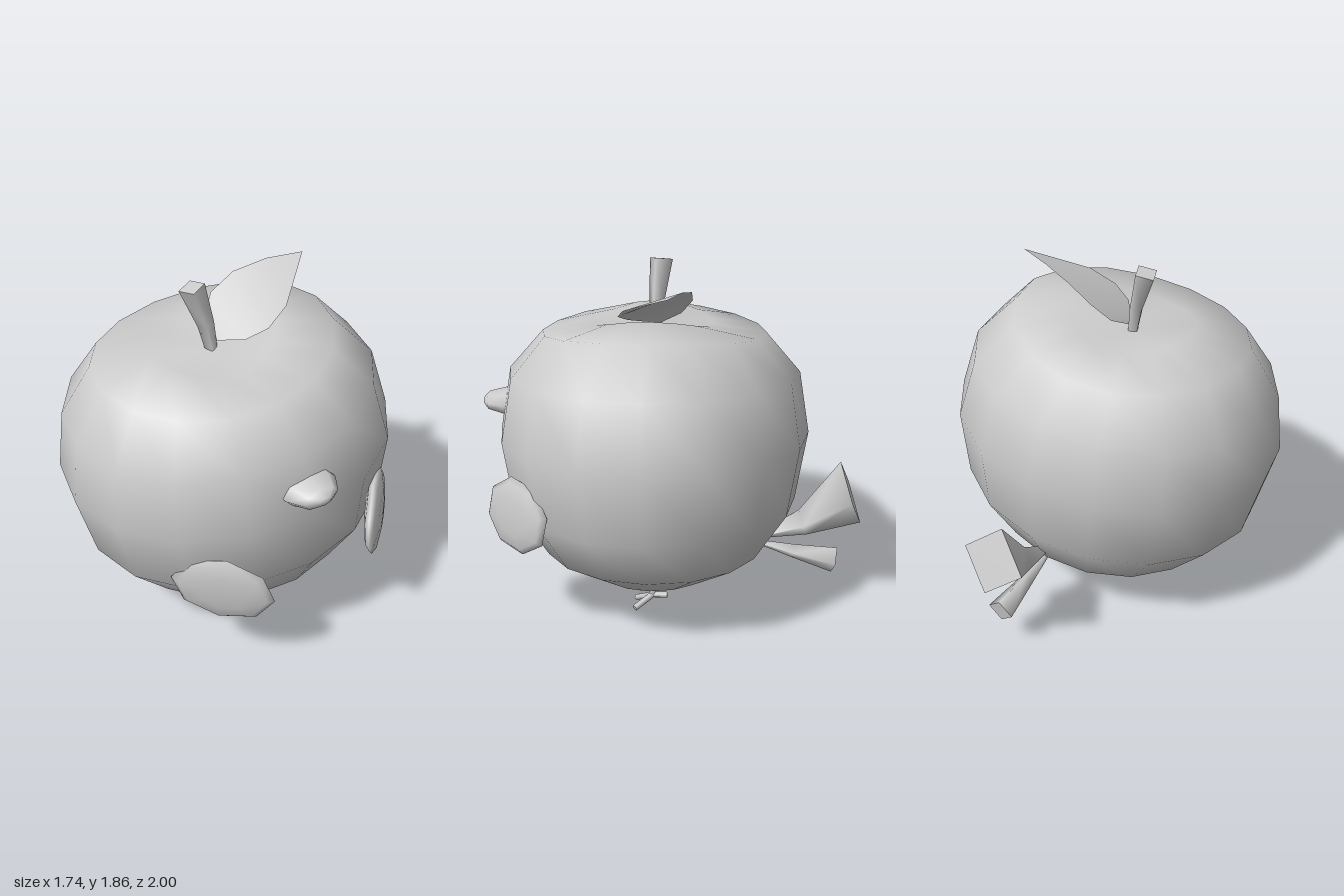
import * as THREE from 'three';
import { mergeVertices } from 'three/addons/utils/BufferGeometryUtils.js';

const skin = new THREE.MeshStandardMaterial({ color: 0xcccccc });
skin.name = 'plain grey';
const leafSkin = new THREE.MeshStandardMaterial({ color: 0xcccccc, side: THREE.DoubleSide });
leafSkin.name = 'plain grey leaf';

const V = (x, y, z) => new THREE.Vector3(x, y, z);

// Smooth skin over closed rings of points; an optional flat cap closes the last ring
function loft(rings, cap = false) {
  const n = rings[0].length;
  const pos = rings.flat().flatMap((p) => p.toArray());
  const index = [];
  for (let i = 0; i < rings.length - 1; i++) {
    for (let j = 0; j < n; j++) {
      const a = i * n + j, b = i * n + (j + 1) % n;
      index.push(a, b, a + n, b, b + n, a + n);
    }
  }
  let geo = new THREE.BufferGeometry();
  geo.setAttribute('position', new THREE.Float32BufferAttribute(pos, 3));
  geo.setIndex(index);
  geo = mergeVertices(geo);
  geo.computeVertexNormals();
  if (!cap) return geo;
  geo = geo.toNonIndexed();
  const p = [...geo.attributes.position.array], nn = [...geo.attributes.normal.array];
  const end = rings[rings.length - 1];
  for (let j = 1; j < n - 1; j++) {
    const tri = [end[0], end[j], end[j + 1]];
    const normal = new THREE.Triangle(...tri).getNormal(V(0, 0, 0));
    tri.forEach((q) => { p.push(...q.toArray()); nn.push(...normal.toArray()); });
  }
  geo = new THREE.BufferGeometry();
  geo.setAttribute('position', new THREE.Float32BufferAttribute(p, 3));
  geo.setAttribute('normal', new THREE.Float32BufferAttribute(nn, 3));
  return geo;
}

// Four-sided flared bar through the given centres
function flaredBar(centres, radii, corner, direction) {
  const d = direction.normalize();
  const u = corner.addScaledVector(d, -corner.dot(d)).normalize();
  const v = d.clone().cross(u);
  return loft(centres.map((c, i) => [0, 1, 2, 3].map((k) => {
    const a = k * Math.PI / 2;
    return c.clone().addScaledVector(u, radii[i] * Math.cos(a)).addScaledVector(v, radii[i] * Math.sin(a));
  })), true);
}

function rod(from, to, radius) {
  const dir = to.clone().sub(from);
  const geo = new THREE.CylinderGeometry(radius, radius, dir.length(), 6);
  const mesh = new THREE.Mesh(geo, skin);
  mesh.position.copy(from).addScaledVector(dir, 0.5);
  mesh.quaternion.setFromUnitVectors(V(0, 1, 0), dir.normalize());
  return mesh;
}

export function createModel() {
  const model = new THREE.Group();
  model.name = 'appleBird';
  const add = (name, geo, parent = model, mat = skin) => {
    const mesh = new THREE.Mesh(geo, mat);
    mesh.name = name;
    parent.add(mesh);
    return mesh;
  };

  // Leaning apple body: centre x, centre y, half width, rise to the left, half depth, saddle drop
  const bodyRings = [
    [-0.08, 1.50, 0, 0, 0, 0],
    [-0.08, 1.60, 0.33, 0.04, 0.31, 0.07],
    [-0.075, 1.54, 0.615, 0.08, 0.58, 0.05],
    [-0.04, 1.295, 0.80, 0.105, 0.755, 0],
    [0, 0.975, 0.87, 0.105, 0.81, 0],
    [0.04, 0.61, 0.805, 0.10, 0.75, 0],
    [0.08, 0.35, 0.61, 0.08, 0.58, 0],
    [0.10, 0.20, 0.33, 0.04, 0.31, 0],
    [0.10, 0.15, 0, 0, 0, 0],
  ];
  add('body', loft(bodyRings.map(([cx, cy, w, rise, d, drop]) =>
    Array.from({ length: 16 }, (_, j) => {
      const c = Math.cos(j * Math.PI / 8), s = Math.sin(j * Math.PI / 8);
      return V(cx + w * c, cy + rise * c - drop * s * s, 0.1 + d * s);
    }))));

  // Stem
  add('stem', flaredBar(
    [V(-0.078, 1.49, 0.1), V(-0.105, 1.64, 0.09), V(-0.17, 1.85, 0.07)],
    [0.03, 0.042, 0.065], V(0.06, 0.02, 0.025), V(-0.25, 1, -0.05)));

  // Leaf: strips between a raised back edge and a lower front edge
  const base = V(-0.06, 1.53, 0.09), tip = V(0.52, 1.83, 0);
  const backEdge = [base, V(-0.04, 1.6, -0.04), V(0.04, 1.69, -0.1), V(0.17, 1.77, -0.1), V(0.34, 1.815, -0.06), tip];
  const frontEdge = [base, V(-0.04, 1.55, 0.13), V(0.03, 1.58, 0.23), V(0.14, 1.63, 0.27), V(0.27, 1.70, 0.23), tip];
  const leafPos = [], leafIndex = [];
  backEdge.forEach((b, i) => {
    leafPos.push(...b.toArray(), ...frontEdge[i].toArray());
    const a = i * 2;
    if (i < 5) leafIndex.push(a, a + 1, a + 2, a + 1, a + 3, a + 2);
  });
  let leaf = new THREE.BufferGeometry();
  leaf.setAttribute('position', new THREE.Float32BufferAttribute(leafPos, 3));
  leaf.setIndex(leafIndex);
  leaf = mergeVertices(leaf);
  leaf.computeVertexNormals();
  add('leaf', leaf, model, leafSkin);

  // Beak: blunt oval nub
  const beakRings = [[0.82, 0.145, 0.07], [0.88, 0.143, 0.07], [0.965, 0.095, 0.048], [0.995, 0.035, 0.02], [1.0, 0, 0]];
  const beak = add('beak', loft(beakRings.map(([z, rx, ry]) =>
    Array.from({ length: 8 }, (_, j) => V(rx * Math.cos(j * Math.PI / 4), ry * Math.sin(j * Math.PI / 4), z)))));
  beak.position.set(-0.015, 1.118, 0);
  beak.rotation.z = 0.12;

  // Tail: a large and a small flared feather
  add('upperTail', flaredBar(
    [V(0.08, 0.395, -0.46), V(0.07, 0.48, -0.7), V(0.045, 0.65, -0.945)],
    [0.015, 0.075, 0.18], V(1, 0.1, 0), V(0, 0.33, -0.94)));
  add('lowerTail', flaredBar(
    [V(0.08, 0.36, -0.46), V(0.08, 0.31, -0.65), V(0.08, 0.26, -0.875)],
    [0.012, 0.038, 0.072], V(1, 0.1, 0), V(0, -0.2, -0.98)));

  // Wings and feet mirror about the leaning body axis
  const lean = new THREE.Group();
  lean.name = 'wingsAndFeet';
  lean.position.y = 0.975;
  lean.rotation.z = 0.12;
  model.add(lean);
  for (const s of [1, -1]) {
    const side = s > 0 ? 'left' : 'right';
    const wing = add(side + 'Wing', new THREE.SphereGeometry(1, 8, 6).rotateX(Math.PI / 2), lean);
    wing.scale.set(0.26, 0.2, 0.045);
    wing.position.set(0.463 * s, -0.335, 0.757);
    wing.rotation.set(0, s * Math.PI / 4, s * 0.2);

    const foot = new THREE.Group();
    foot.name = side + 'Foot';
    foot.position.set(0.131 * s, -0.89, 0.1);
    const ankle = V(0, 0, 0);
    foot.add(rod(V(0, 0.15, 0), ankle, 0.017));
    foot.add(rod(ankle, V(0.072, -0.05, 0.09), 0.017));
    foot.add(rod(ankle, V(-0.072, -0.05, 0.09), 0.017));
    foot.add(rod(ankle, V(0, 0, -0.08), 0.017));
    lean.add(foot);
  }
  return model;
}
